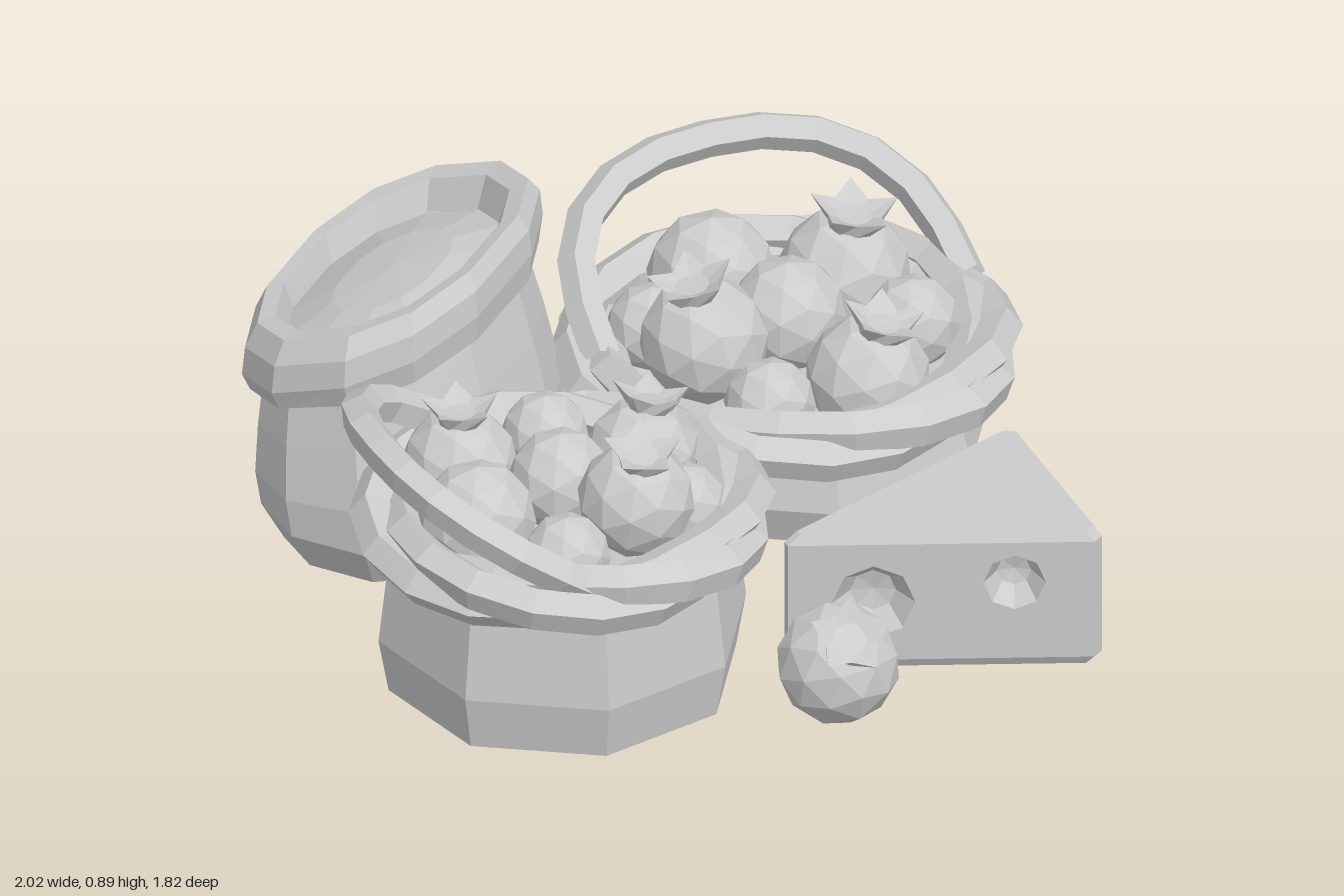
import * as THREE from 'three';

const material = new THREE.MeshStandardMaterial({
  color: 0xcccccc, flatShading: true, side: THREE.DoubleSide,
});
const V = (x, y, z) => new THREE.Vector3(x, y, z);
// Squares off a sine or cosine, to turn ellipses into boxier ovals
const bulge = (v, power) => Math.sign(v) * Math.abs(v) ** power;

function mesh(name, geometry) {
  const m = new THREE.Mesh(geometry, material);
  m.name = name;
  return m;
}

// Skin a list of closed rings, each counter-clockwise seen from above, bottom to top
function loft(rings) {
  const pos = [];
  const n = rings[0].length;
  for (let i = 0; i < rings.length - 1; i++) {
    for (let j = 0; j < n; j++) {
      const k = (j + 1) % n;
      const [a, b, c, d] = [rings[i][j], rings[i][k], rings[i + 1][k], rings[i + 1][j]];
      for (const p of [a, b, c, a, c, d]) pos.push(p.x, p.y, p.z);
    }
  }
  const g = new THREE.BufferGeometry();
  g.setAttribute('position', new THREE.Float32BufferAttribute(pos, 3));
  g.computeVertexNormals();
  return g;
}

const circle = (r, y, n, turn = 0) => Array.from({ length: n }, (_, i) => {
  const t = ((i + turn) / n) * Math.PI * 2;
  return V(r * Math.cos(t), y, -r * Math.sin(t));
});

// Five-pointed flaring crown on a berry of radius r
function crown(r) {
  const star = Array.from({ length: 10 }, (_, i) => {
    const t = (i / 10) * Math.PI * 2;
    const tip = i % 2 === 0;
    const d = r * (tip ? 0.7 : 0.43);
    return V(d * Math.cos(t), r * (tip ? 1.24 : 1.1), -d * Math.sin(t));
  });
  return loft([circle(r * 0.38, r * 0.85, 10), star, circle(r * 0.28, r * 1.04, 10), circle(0, r * 1.03, 10)]);
}

// Berry; dir is where its crown points, if it has one
function berry(x, y, z, r, dir) {
  const g = new THREE.Group();
  g.name = 'berry';
  g.add(mesh('berryFruit', new THREE.IcosahedronGeometry(r * 1.02, 1)));
  if (dir) {
    g.add(mesh('berryCrown', crown(r)));
    g.quaternion.setFromUnitVectors(V(0, 1, 0), V(...dir).normalize());
  }
  g.position.set(x, y, z);
  return g;
}

// One strand of the thick twisted rope round a basket's mouth
function strand(R, y, phase) {
  const pts = Array.from({ length: 18 }, (_, i) => {
    const t = (i / 18) * Math.PI * 2;
    const s = t * 2 + phase;
    const r = R + 0.042 * Math.cos(s);
    return V(r * Math.cos(t), y + 0.036 * Math.sin(s), r * Math.sin(t));
  });
  return new THREE.TubeGeometry(new THREE.CatmullRomCurve3(pts, true), 18, 0.054, 5, true);
}

// Handle: boxy half ellipse from one side of the rim to the other
function handle(base, side, rise) {
  const pts = Array.from({ length: 13 }, (_, i) => {
    const t = (i / 12) * Math.PI;
    return base.clone().addScaledVector(side, bulge(Math.cos(t), 0.85)).addScaledVector(rise, bulge(Math.sin(t), 0.75));
  });
  return new THREE.TubeGeometry(new THREE.CatmullRomCurve3(pts), 12, 0.048, 5);
}

function basket(name, x, z, profile, rimR, rimY, handleGeometry, berries) {
  const g = new THREE.Group();
  g.name = name;
  const body = mesh('basketBody', loft(profile.map(([r, y]) => circle(r, y, 8, 0.78))));
  const ropes = [0, 1, 2].map((k) => mesh('basketRim', strand(rimR, rimY, (k * Math.PI * 2) / 3)));
  for (const m of [body, ...ropes]) {
    m.position.set(x, 0, z);
    g.add(m);
  }
  g.add(mesh('basketHandle', handleGeometry));
  for (const b of berries) g.add(berry(...b));
  return g;
}

// Oval sack with a thick rolled mouth, leaning and tilted to the back left
function sack() {
  const g = new THREE.Group();
  g.name = 'sack';
  const angle = 0.66;
  const ring = ([s, y]) => Array.from({ length: 12 }, (_, i) => {
    const t = ((i + 0.5) / 12) * Math.PI * 2;
    const u = 0.448 * s * bulge(Math.cos(t), 0.86);
    const w = 0.318 * s * bulge(Math.sin(t), 0.86);
    const dx = u * Math.cos(angle) - w * Math.sin(angle);
    const dz = -u * Math.sin(angle) - w * Math.cos(angle);
    const tilt = THREE.MathUtils.clamp((y - 0.2) / 0.45, 0, 1);
    return V(-0.49 - 0.045 * tilt + dx, y + tilt * (0.3 * dx + 0.21 * dz), -0.475 - 0.03 * tilt + dz);
  });
  g.add(mesh('sackBody', loft([
    [0, 0.015], [0.5, 0.02], [0.86, 0.09], [1.01, 0.2], [1.01, 0.32], [0.94, 0.48], [0.86, 0.62],
  ].map(ring))));
  g.add(mesh('sackMouth', loft([
    [0.86, 0.6], [0.95, 0.61], [0.99, 0.67], [0.97, 0.74], [0.89, 0.79], [0.77, 0.785], [0.7, 0.71],
  ].map(ring))));
  g.add(mesh('sackFilling', loft([[0.73, 0.7], [0.4, 0.735], [0, 0.745]].map(ring))));
  return g;
}

// Cheese wedge with bevelled edges and faceted dents in its sides
function cheese() {
  const g = new THREE.Group();
  g.name = 'cheeseWedge';
  const corners = [V(0.03, 0, 0.48), V(0.765, 0, 0.785), V(0.778, 0, 0.215)];
  const outline = [];
  corners.forEach((c, i) => {
    for (const other of [corners[(i + 2) % 3], corners[(i + 1) % 3]]) {
      outline.push(c.clone().addScaledVector(other.clone().sub(c).normalize(), 0.03));
    }
  });
  const mid = V(0.55, 0, 0.49);
  const ring = (s, y) => outline.map((p) => p.clone().lerp(mid, 1 - s).setY(y));
  const low = 0.04, high = 0.36;
  g.add(mesh('cheeseBottom', loft([ring(0, 0.015), ring(0.93, 0.015), ring(1, low)])));
  g.add(mesh('cheeseTop', loft([ring(1, high), ring(0.93, 0.385), ring(0, 0.385)])));

  // Dents per wall: distance along it as a fraction, height, radius
  const dents = { 1: [[0.28, 0.2, 0.1], [0.74, 0.25, 0.075]], 3: [[0.33, 0.2, 0.105]], 5: [[0.26, 0.19, 0.09], [0.74, 0.19, 0.075]] };
  outline.forEach((p, i) => {
    const q = outline[(i + 1) % 6];
    const len = p.distanceTo(q);
    const shape = new THREE.Shape([[0, low], [len, low], [len, high], [0, high]].map((a) => new THREE.Vector2(...a)));
    const wall = new THREE.Group();
    wall.name = 'cheeseSide';
    for (const [f, y, r] of dents[i] || []) {
      shape.holes.push(new THREE.Path(Array.from({ length: 8 }, (_, k) => new THREE.Vector2(
        f * len + r * Math.cos((k * Math.PI) / 4), y + r * Math.sin((k * Math.PI) / 4)))));
      const profile = [[0, -0.07], [r * 0.55, -0.06], [r, 0]].map((a) => new THREE.Vector2(...a));
      const dent = mesh('cheeseDent', new THREE.LatheGeometry(profile, 8));
      dent.rotation.x = Math.PI / 2;
      dent.position.set(f * len, y, 0);
      wall.add(dent);
    }
    wall.add(mesh('cheeseWall', new THREE.ShapeGeometry(shape)));
    wall.position.copy(p);
    wall.rotation.y = -Math.atan2(q.z - p.z, q.x - p.x);
    g.add(wall);
  });
  return g;
}

export function createModel() {
  const model = new THREE.Group();
  model.name = 'foodStall';

  model.add(basket('frontBasket', -0.49, 0.39,
    [[0, 0.005], [0.27, 0.015], [0.43, 0.1], [0.455, 0.24], [0.43, 0.46], [0.41, 0.55], [0.39, 0.52], [0, 0.47]],
    0.428, 0.54, handle(V(-0.57, 0.55, 0.37), V(0, 0, 0.425), V(-0.38, 0.25, 0)), [
      [-0.66, 0.59, 0.17, 0.14, [0, 1, 0]],
      [-0.41, 0.58, 0.11, 0.105],
      [-0.23, 0.57, 0.28, 0.14, [0.2, 1, -0.1]],
      [-0.74, 0.61, 0.45, 0.14],
      [-0.49, 0.62, 0.38, 0.125],
      [-0.23, 0.56, 0.52, 0.105],
      [-0.59, 0.57, 0.64, 0.105],
      [-0.39, 0.66, 0.6, 0.14, [0, 1, 0.25]],
    ]));

  model.add(basket('backBasket', 0.43, -0.345,
    [[0, 0.01], [0.31, 0.015], [0.48, 0.1], [0.515, 0.2], [0.49, 0.3], [0.46, 0.39], [0.44, 0.36], [0, 0.31]],
    0.483, 0.38, handle(V(0.45, 0.42, -0.4), V(0.48, 0, 0), V(0, 0.26, -0.45)), [
      [0.36, 0.44, -0.63, 0.155],
      [0.67, 0.42, -0.54, 0.16, [0.1, 1, 0.1]],
      [0.14, 0.42, -0.49, 0.11],
      [0.43, 0.47, -0.34, 0.14],
      [0.17, 0.51, -0.25, 0.155, [-0.2, 1, 0]],
      [0.715, 0.43, -0.245, 0.115],
      [0.26, 0.41, -0.065, 0.11],
      [0.52, 0.42, -0.07, 0.15, [0.2, 1, 0.15]],
    ]));

  model.add(sack(), cheese());

  const loose = berry(0.085, 0.155, 0.725, 0.148, [-0.08, 0.75, 0.6]);
  loose.name = 'looseBerry';
  model.add(loose);
  return model;
}
